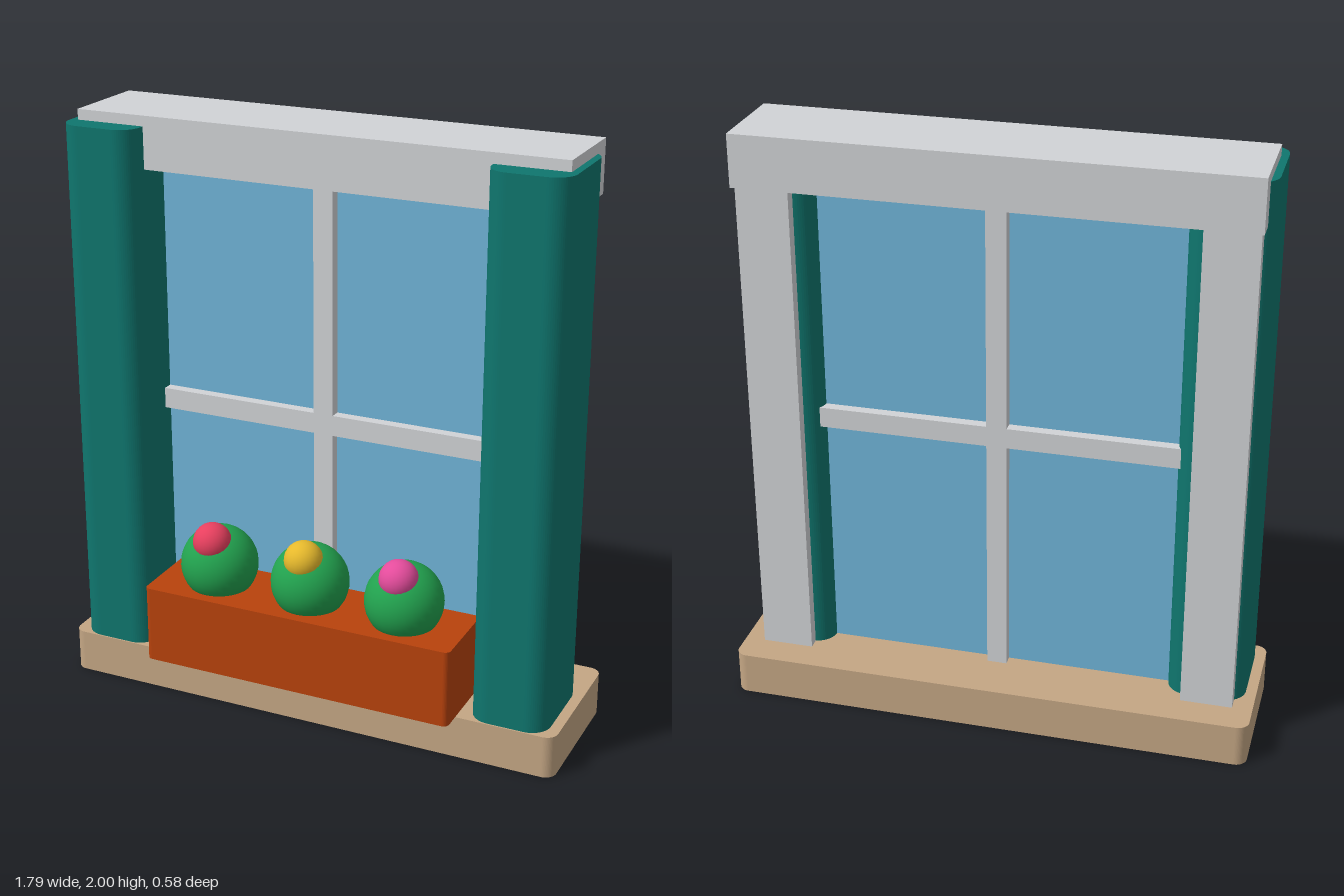
import * as THREE from 'three';

const paint = (name, color) => {
  const m = new THREE.MeshStandardMaterial({ color });
  m.name = name;
  return m;
};

export function createModel() {
  const group = new THREE.Group();
  group.name = 'windowWithFlowerBox';

  const wood = paint('wood', 0xc4a684);
  const white = paint('frameGrey', 0xd1d3d6);
  const teal = paint('teal', 0x0f766e);
  const glass = paint('glass', 0x70b4d8);
  const clay = paint('clay', 0xb8420c);
  const leaf = paint('leaf', 0x22a34f);
  const red = paint('red', 0xe8405f);
  const yellow = paint('yellow', 0xe6b92c);
  const pink = paint('pink', 0xe44c9c);

  const add = (name, geometry, material) => {
    const mesh = new THREE.Mesh(geometry, material);
    mesh.name = name;
    group.add(mesh);
    return mesh;
  };

  // Plain box given by its limits
  const box = (name, material, [x0, x1], [y0, y1], [z0, z1]) =>
    add(name, new THREE.BoxGeometry(x1 - x0, y1 - y0, z1 - z0), material)
      .position.set((x0 + x1) / 2, (y0 + y1) / 2, (z0 + z1) / 2);

  // Upright block with rounded vertical edges and sharp top and bottom
  const roundedBlock = (name, material, [x0, x1], [y0, y1], [z0, z1], r) => {
    const w = (x1 - x0) / 2, d = (z1 - z0) / 2;
    const s = new THREE.Shape();
    s.absarc(w - r, d - r, r, 0, Math.PI / 2);
    s.absarc(r - w, d - r, r, Math.PI / 2, Math.PI);
    s.absarc(r - w, r - d, r, Math.PI, Math.PI * 1.5);
    s.absarc(w - r, r - d, r, Math.PI * 1.5, Math.PI * 2);
    s.closePath();
    const g = new THREE.ExtrudeGeometry(s, { depth: y1 - y0, bevelEnabled: false, curveSegments: 8 });
    g.rotateX(-Math.PI / 2);
    add(name, g, material).position.set((x0 + x1) / 2, y0, (z0 + z1) / 2);
  };

  const sillTop = 0.147;
  const headBottom = 1.825;

  // Sill and head
  roundedBlock('sill', wood, [-0.893, 0.893], [0, sillTop], [-0.29, 0.215], 0.04);
  box('head', white, [-0.833, 0.833], [headBottom, 2], [-0.2, 0.125]);

  // Side posts and shutters, mirrored
  for (const [side, sx] of [['left', 1], ['right', -1]]) {
    const span = (a, b) => (sx > 0 ? [a, b] : [-b, -a]);
    box(side + 'Post', white, span(0.65, 0.825), [sillTop, headBottom], [-0.18, 0.105]);
    roundedBlock(side + 'Shutter', teal, span(0.593, 0.857), [sillTop, 1.965], [-0.142, 0.21], 0.07);
  }

  // Pane and crossing glazing bars
  box('pane', glass, [-0.66, 0.66], [sillTop, headBottom], [-0.075, 0.003]);
  box('uprightBar', white, [-0.034, 0.034], [sillTop, headBottom], [-0.112, 0.04]);
  box('crossBar', white, [-0.61, 0.61], [0.98, 1.05], [-0.111, 0.039]);

  // Flower box with three bushes, each with a blossom
  roundedBlock('flowerBox', clay, [-0.555, 0.555], [sillTop, 0.415], [0, 0.288], 0.02);
  const bushShape = new THREE.SphereGeometry(0.132, 32, 20);
  const blossomShape = new THREE.SphereGeometry(0.066, 24, 16);
  [red, yellow, pink].forEach((petal, i) => {
    const x = (i - 1) * 0.34;
    add('bush' + (i + 1), bushShape, leaf).position.set(x, 0.493, 0.143);
    add('blossom' + (i + 1), blossomShape, petal).position.set(x, 0.59, 0.192);
  });

  return group;
}
